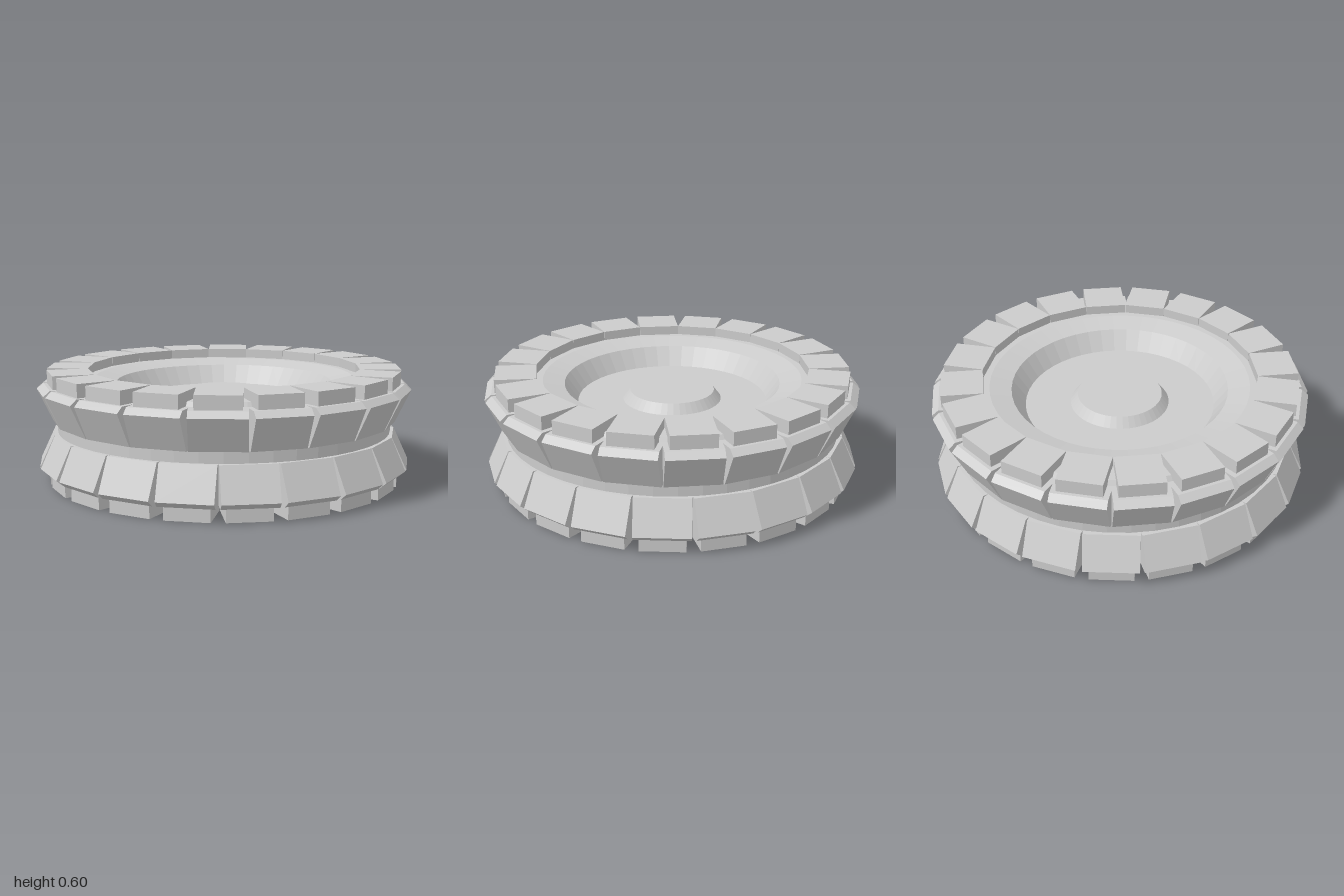
import * as THREE from 'three';

const TEETH = 20;
const STEP = (Math.PI * 2) / TEETH;
const MID = 0.3; // height of the wheel's middle plane

// Block with an (radius, height above middle) outline, centred across its width
function block(name, outline, width, material) {
  const shape = new THREE.Shape(outline.map(([r, y]) => new THREE.Vector2(r, y)));
  const geo = new THREE.ExtrudeGeometry(shape, { depth: width, bevelEnabled: false });
  geo.translate(0, 0, -width / 2);
  const mesh = new THREE.Mesh(geo, material);
  mesh.name = name;
  return mesh;
}

// One ring of teeth: sloping outer pads with narrower side lugs on top
function toothRing(name, offset, material) {
  const ring = new THREE.Group();
  ring.name = name;
  const pad = [[0.85, 0.03], [0.91, 0.03], [0.99, 0.2], [0.955, 0.23], [0.85, 0.23]];
  const lug = [[0.72, 0.2], [0.938, 0.2], [0.938, 0.3], [0.72, 0.3]];
  for (let i = 0; i < TEETH; i++) {
    const tooth = new THREE.Group();
    tooth.name = 'tooth';
    tooth.add(block('treadPad', pad, 0.28, material));
    tooth.add(block('sideLug', lug, 0.226, material));
    tooth.rotation.y = offset + i * STEP;
    ring.add(tooth);
  }
  return ring;
}

export function createModel() {
  const grey = new THREE.MeshStandardMaterial({ color: 0xcccccc });
  grey.name = 'grey';
  grey.flatShading = true;

  const model = new THREE.Group();
  model.name = 'wheel';

  // Core: groove in the rim, dished sides and a raised central boss
  const upper = [
    [0.895, 0.03], [0.895, 0.16], [0.84, 0.25], [0.69, 0.25],
    [0.575, 0.225], [0.505, 0.125], [0.263, 0.125], [0.225, 0.175], [0, 0.175],
  ];
  const profile = [...upper.map(([r, y]) => [r, -y]).reverse(), ...upper]
    .map(([r, y]) => new THREE.Vector2(r, y + MID));
  const core = new THREE.Mesh(new THREE.LatheGeometry(profile, 48), grey);
  core.name = 'wheelCore';
  model.add(core);

  // Upper ring, and a flipped lower ring staggered by half a tooth
  const top = toothRing('upperTeeth', STEP / 2, grey);
  const bottom = toothRing('lowerTeeth', 0, grey);
  bottom.rotation.x = Math.PI;
  for (const ring of [top, bottom]) {
    ring.position.y = MID;
    model.add(ring);
  }
  return model;
}
